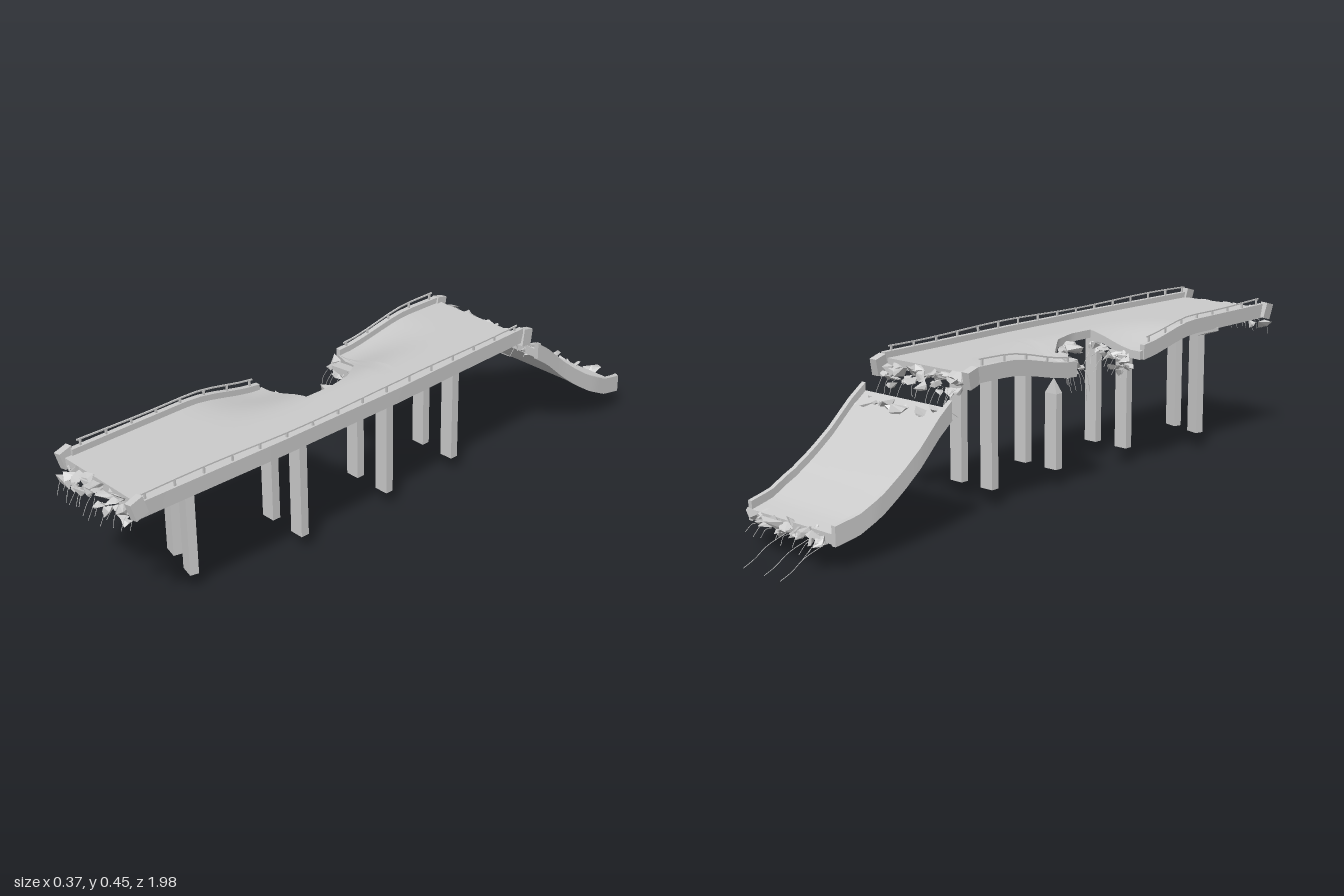
import * as THREE from 'three';
import { toCreasedNormals } from 'three/addons/utils/BufferGeometryUtils.js';
import { ConvexGeometry } from 'three/addons/geometries/ConvexGeometry.js';

const V = (x, y, z) => new THREE.Vector3(x, y, z);
const smooth = THREE.MathUtils.smoothstep;
const lerp = THREE.MathUtils.lerp;

let seed = 7;
const rnd = (a = 0, b = 1) => {
  seed = (seed * 16807) % 2147483647;
  return a + (b - a) * (seed / 2147483647);
};

// piecewise-linear lookup in [key, value] pairs with falling keys
function table(points, k) {
  if (k >= points[0][0]) return points[0][1];
  for (let i = 1; i < points.length; i++) {
    const [k0, v0] = points[i - 1], [k1, v1] = points[i];
    if (k >= k1) return lerp(v0, v1, (k - k0) / (k1 - k0));
  }
  return points[points.length - 1][1];
}

const leftEdge = z => table([[0.93, -0.15], [0.3, -0.165], [0, -0.172], [-0.4, -0.17]], z);
const rightEdge = z => table([[0.93, 0.175], [0.5, 0.18], [0.1, 0.176], [-0.2, 0.162], [-0.4, 0.155]], z);
const notchEdge = z => table([[0.29, 0.02], [0.2, 0.02], [0.12, 0], [0.04, -0.06], [0, -0.172]], z);
// the broken side of the deck sags around the hole
const sag = (x, z) => 0.042 * smooth(-x, -0.04, 0.15) * smooth(-z, -0.55, -0.28) * (1 - smooth(-z, 0, 0.28));
const slabY = z => table([[-0.46, 0.335], [-0.53, 0.285], [-0.6, 0.222], [-0.66, 0.175], [-0.72, 0.135], [-0.8, 0.095], [-0.88, 0.078]], z);

const grey = new THREE.MeshStandardMaterial({ color: 0xcccccc });
const faceted = new THREE.MeshStandardMaterial({ color: 0xcccccc, flatShading: true });

function add(group, name, geometry, material = grey) {
  const mesh = new THREE.Mesh(geometry, material);
  mesh.name = name;
  group.add(mesh);
  return mesh;
}

// closed solid through rings that run counter-clockwise, ordered from +z to -z
function loft(rings) {
  const n = rings[0].length, pos = [], idx = [];
  rings.forEach(r => r.forEach(p => pos.push(p.x, p.y, p.z)));
  for (let i = 0; i < rings.length - 1; i++)
    for (let j = 0; j < n; j++) {
      const a = i * n + j, b = i * n + (j + 1) % n;
      idx.push(a, a + n, b + n, a, b + n, b);
    }
  const e = (rings.length - 1) * n, h = n / 2;
  for (let j = 0; j < h - 1; j++) {
    const a = j, b = j + 1, c = n - 2 - j, d = n - 1 - j;
    idx.push(a, b, c, a, c, d, e + a, e + c, e + b, e + a, e + d, e + c);
  }
  const g = new THREE.BufferGeometry();
  g.setAttribute('position', new THREE.Float32BufferAttribute(pos, 3));
  g.setIndex(idx);
  return toCreasedNormals(g, 0.5);
}

// ribbon of road: x0/x1 give the edges, y(x, z) the bottom
function ribbon(zs, x0, x1, y, thick, cols) {
  return loft(zs.map(z => {
    const xs = Array.from({ length: cols + 1 }, (_, i) => lerp(x0(z), x1(z), i / cols));
    const bottom = xs.map(x => V(x, y(x, z), z));
    const top = xs.map(x => V(x, y(x, z) + thick, z)).reverse();
    return [...bottom, ...top];
  }));
}

const steps = (a, b, n) => Array.from({ length: n + 1 }, (_, i) => lerp(a, b, i / n));

// broken concrete scattered along a path
function rubble(group, name, path, count, size, drop) {
  const g = new THREE.Group();
  g.name = name;
  const curve = new THREE.CatmullRomCurve3(path.map(p => V(...p)));
  for (let i = 0; i < count; i++) {
    const pts = [], s = size * rnd(0.6, 1.2);
    for (let k = 0; k < 9; k++) pts.push(V(rnd(-1, 1) * s, rnd(-0.5, 0.5) * s, rnd(-0.75, 0.75) * s));
    const m = add(g, 'chunk', new ConvexGeometry(pts), faceted);
    m.position.copy(curve.getPoint((i + 0.5) / count));
    m.position.add(V(rnd(-0.01, 0.01), rnd(-drop, 0.006), rnd(-0.016, 0.016)));
    m.rotation.set(rnd(-0.5, 0.5), rnd(0, 6), rnd(-0.5, 0.5));
  }
  group.add(g);
}

// bent reinforcing bars sticking out of a broken edge
function rebar(group, name, path, count, reach, radius = 0.0009) {
  const g = new THREE.Group();
  g.name = name;
  const curve = new THREE.CatmullRomCurve3(path.map(p => V(...p)));
  for (let i = 0; i < count; i++) {
    const p = curve.getPoint((i + rnd(0.2, 0.8)) / count), k = rnd(0.5, 1);
    const d = V(reach[0] * k + rnd(-0.012, 0.012), reach[1] * k, reach[2] * k);
    const mid = p.clone().addScaledVector(d, 0.5).add(V(rnd(-0.008, 0.008), 0.01, 0));
    add(g, 'bar', new THREE.TubeGeometry(new THREE.CatmullRomCurve3([p, mid, p.clone().add(d)]), 6, radius, 4));
  }
  group.add(g);
}

export function createModel() {
  const model = new THREE.Group();
  const deckY = (x, z) => 0.386 - sag(x, z);

  // standing deck in three stretches: ahead of the hole, beside it, behind it
  add(model, 'frontDeck', ribbon(steps(0.93, 0.285, 14), leftEdge, rightEdge, deckY, 0.024, 10));
  add(model, 'holeDeck', ribbon(steps(0.285, 0, 14), notchEdge, rightEdge, deckY, 0.024, 10));
  add(model, 'backDeck', ribbon(steps(0, -0.4, 10), leftEdge, rightEdge, deckY, 0.024, 10));

  // edge curbs with handrails
  const runs = [['right', 0.95, -0.41, rightEdge, 1], ['left', 0.91, 0.3, leftEdge, -1], ['left', 0, -0.39, leftEdge, -1]];
  for (const [side, za, zb, edge, s] of runs) {
    const n = Math.max(8, Math.round((za - zb) / 0.05));
    const inner = z => edge(z) - s * 0.011, outer = z => edge(z) + s * 0.004;
    add(model, side + 'Curb', ribbon(steps(za, zb, n), s > 0 ? inner : outer, s > 0 ? outer : inner,
      (x, z) => 0.384 - sag(edge(z), z), 0.043, 1));
    const railX = z => edge(z) - s * 0.004;
    const railY = (x, z) => 0.44 - sag(edge(z), z) + 0.003 * Math.sin(z * 9 + s);
    add(model, side + 'Rail', ribbon(steps(za - 0.02, zb + 0.02, n), z => railX(z) - 0.002, z => railX(z) + 0.002, railY, 0.004, 1));
    const posts = Math.round((za - zb) / 0.09);
    for (const z of steps(za - 0.03, zb + 0.03, posts))
      add(model, side + 'RailPost', new THREE.BoxGeometry(0.005, 0.022, 0.005))
        .position.set(railX(z), railY(0, z) - 0.009, z);
  }

  // fallen slab with its curbs
  const slabL = z => table([[-0.46, -0.172], [-0.6, -0.183], [-0.75, -0.183], [-0.88, -0.168]], z);
  const slabR = z => table([[-0.46, 0.155], [-0.6, 0.153], [-0.75, 0.16], [-0.88, 0.152]], z);
  const slabZ = steps(-0.48, -0.87, 16);
  add(model, 'fallenSlab', ribbon(slabZ, slabL, slabR, (x, z) => slabY(z) - 0.012, 0.026, 4));
  add(model, 'fallenLeftCurb', ribbon(slabZ, z => slabL(z) - 0.004, z => slabL(z) + 0.01, (x, z) => slabY(z) - 0.016, 0.052, 1));
  add(model, 'fallenRightCurb', ribbon(slabZ, z => slabR(z) - 0.01, z => slabR(z) + 0.004, (x, z) => slabY(z) - 0.016, 0.052, 1));

  // pillar rows: centre x, z, pillar spacing, turn, tilt of the cap, left pillar broken
  const cap = new THREE.Shape([[-0.135, 0.015], [-0.135, 0.005], [-0.075, -0.015], [0.075, -0.015], [0.135, 0.005], [0.135, 0.015]]
    .map(p => new THREE.Vector2(...p)));
  const capGeo = new THREE.ExtrudeGeometry(cap, { depth: 0.03, bevelEnabled: false }).translate(0, 0, -0.015);
  const rows = [[-0.03, 0.68, 0.107, -0.25, 0, false], [0.02, 0.37, 0.117, 0, 0.08, false],
    [0.012, 0.05, 0.117, 0, 0.1, true], [0.002, -0.22, 0.115, 0, 0, false]];
  for (const [x, z, gap, turn, tilt, broken] of rows) {
    const row = new THREE.Group();
    row.name = 'pillarRow';
    row.position.set(x, 0, z);
    row.rotation.y = turn;
    const c = add(row, 'pillarCap', capGeo);
    c.position.y = 0.371;
    c.rotation.z = tilt;
    for (const s of [-1, 1]) {
      const short = broken && s < 0, top = short ? 0.27 : 0.365;
      const p = add(row, 'pillar', new THREE.BoxGeometry(0.043, top - 0.051, 0.025));
      p.position.set(s * gap / 2, (top + 0.051) / 2, 0);
      if (short) {
        // snapped, pointed head
        const w = 0.0215, d = 0.0125, head = [];
        for (const a of [-w, w]) for (const b of [-d, d]) head.push(V(a, 0, b));
        head.push(V(-0.006, 0.045, -0.006), V(0.006, 0.038, 0.006), V(0.018, 0.015, 0));
        add(row, 'brokenPillarHead', new ConvexGeometry(head), faceted).position.set(-gap / 2, top, 0);
      }
    }
    model.add(row);
  }

  // broken ends
  rubble(model, 'frontRubble', [[-0.14, 0.385, 0.93], [0, 0.393, 0.935], [0.15, 0.39, 0.93]], 22, 0.028, 0.012);
  rubble(model, 'frontHangingRubble', [[-0.135, 0.365, 0.945], [0, 0.375, 0.95], [0.145, 0.365, 0.945]], 14, 0.024, 0.015);
  rubble(model, 'breakRubble', [[-0.14, 0.395, -0.41], [0, 0.395, -0.41], [0.135, 0.395, -0.41]], 18, 0.026, 0.012);
  rubble(model, 'breakHangingRubble', [[-0.14, 0.37, -0.43], [0, 0.375, -0.43], [0.14, 0.37, -0.435]], 14, 0.023, 0.015);
  rubble(model, 'slabTopRubble', [[-0.15, 0.315, -0.495], [0, 0.315, -0.495], [0.135, 0.315, -0.495]], 22, 0.026, 0.012);
  rubble(model, 'slabFootRubble', [[-0.145, 0.085, -0.875], [0, 0.085, -0.875], [0.135, 0.085, -0.875]], 26, 0.027, 0.015);

  // curb stubs at the ends
  for (const [x, y, z] of [[0.171, 0.412, 0.945], [-0.155, 0.405, 0.92], [-0.166, 0.4, -0.4], [0.152, 0.395, -0.425]]) {
    const stub = add(model, 'curbStub', new THREE.BoxGeometry(0.022, 0.048, 0.04));
    stub.position.set(x, y, z);
    stub.rotation.set(0.25 * Math.sign(z), 0.1, 0.08);
  }

  // rubble hanging round the hole
  rubble(model, 'holeArcRubble', [[-0.16, 0.352, 0.035], [-0.07, 0.362, 0.06], [-0.02, 0.37, 0.12], [0.008, 0.375, 0.2]], 20, 0.026, 0.015);
  rubble(model, 'holeEdgeRubble', [[-0.14, 0.345, 0.275], [-0.07, 0.355, 0.27], [0.005, 0.368, 0.265]], 16, 0.024, 0.015);
  rubble(model, 'holeHangingRubble', [[-0.135, 0.315, 0.26], [-0.1, 0.325, 0.25]], 4, 0.022, 0.015);

  // reinforcing bars
  rebar(model, 'frontRebar', [[-0.14, 0.37, 0.94], [0, 0.37, 0.95], [0.16, 0.38, 0.94]], 14, [0, -0.05, 0.03]);
  rebar(model, 'breakRebar', [[-0.14, 0.37, -0.43], [0.14, 0.37, -0.43]], 12, [0, -0.06, -0.04]);
  rebar(model, 'slabTopRebar', [[-0.14, 0.32, -0.49], [0.13, 0.32, -0.49]], 8, [0, -0.02, 0.06]);
  rebar(model, 'holeRebar', [[-0.15, 0.35, 0.06], [-0.06, 0.35, 0.08], [0, 0.36, 0.16]], 12, [0, -0.1, 0.03]);
  rebar(model, 'holeEdgeRebar', [[-0.14, 0.34, 0.26], [0, 0.35, 0.25]], 8, [0, -0.05, -0.04]);
  rebar(model, 'slabFootRebar', [[-0.14, 0.07, -0.89], [0.13, 0.07, -0.89]], 9, [0, -0.03, -0.05]);
  for (const x of [-0.145, -0.085, -0.005])
    add(model, 'longRebar', new THREE.TubeGeometry(new THREE.CatmullRomCurve3(
      [V(x, 0.068, -0.88), V(x + 0.006, 0.045, -0.94), V(x + 0.01, 0.02, -0.975), V(x + 0.022, 0.001, -1)]), 10, 0.001, 4));

  return model;
}
